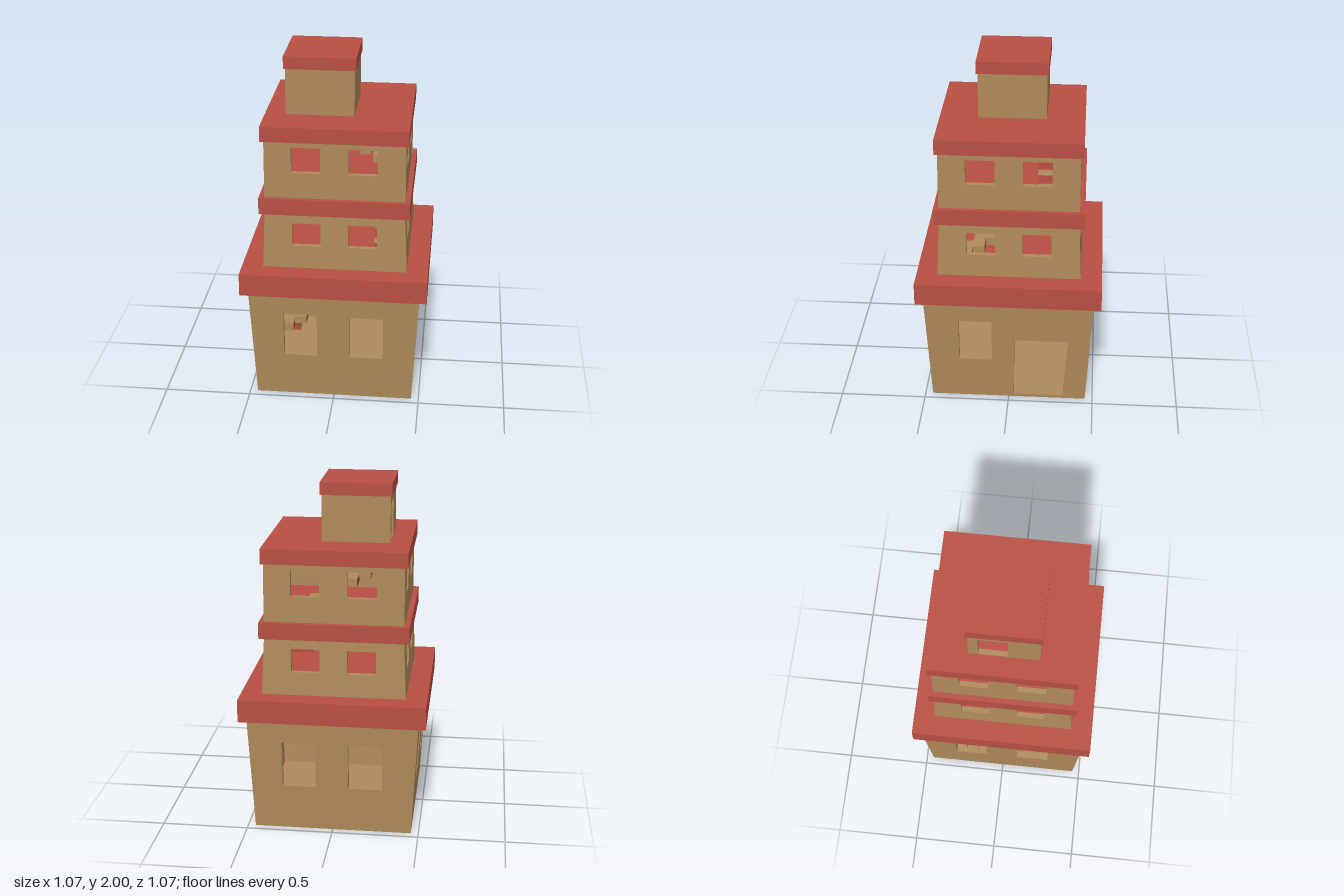
import * as THREE from 'three';

const tan = new THREE.MeshStandardMaterial({ color: 0xae8959 });
tan.name = 'sandstone';
const red = new THREE.MeshStandardMaterial({ color: 0xb94f43 });
red.name = 'roofRed';

const T = 0.03; // wall thickness

function box(name, [x0, x1], [y0, y1], [z0, z1], material) {
  const mesh = new THREE.Mesh(new THREE.BoxGeometry(x1 - x0, y1 - y0, z1 - z0), material);
  mesh.position.set((x0 + x1) / 2, (y0 + y1) / 2, (z0 + z1) / 2);
  mesh.name = name;
  return mesh;
}

// Leaning wall with openings and mitred ends; openings are lists of corner points
function wall(name, y0, y1, h0, h1, openings) {
  const half = y => h0 + (h1 - h0) * (y - y0) / (y1 - y0);
  const pts = list => list.map(([x, y]) => new THREE.Vector2(x, y));
  const shape = new THREE.Shape(pts([[-h0, y0], [h0, y0], [h1, y1], [-h1, y1]]));
  for (const o of openings) shape.holes.push(new THREE.Path(pts(o)));
  const geo = new THREE.ExtrudeGeometry(shape, { depth: T, bevelEnabled: false });
  const p = geo.attributes.position;
  for (let i = 0; i < p.count; i++) {
    const x = p.getX(i), y = p.getY(i), z = p.getZ(i) + half(y) - T;
    p.setZ(i, z);
    if (Math.abs(Math.abs(x) - half(y)) < 1e-4) p.setX(i, Math.sign(x) * z);
  }
  geo.computeVertexNormals();
  const mesh = new THREE.Mesh(geo, tan);
  mesh.name = name;
  return mesh;
}

const rect = (x0, x1, y0, y1) => [[x0, y0], [x0, y1], [x1, y1], [x1, y0]];

// Four walls: front, left (+x), back, right (-x)
function storey(name, y0, y1, h0, h1, openingsFor) {
  const group = new THREE.Group();
  group.name = name;
  ['frontWall', 'leftWall', 'backWall', 'rightWall'].forEach((side, k) => {
    const w = wall(side, y0, y1, h0, h1, openingsFor(k));
    w.rotation.y = k * Math.PI / 2;
    group.add(w);
  });
  return group;
}

// Floating steps; each one moves on by run and rise, with red ends along the run
function flight(name, axis, count, start, run, y, rise, across) {
  const group = new THREE.Group();
  group.name = name;
  const mats = axis === 'x' ? [red, red, tan, red, tan, tan] : [tan, tan, tan, red, red, red];
  for (let i = 0; i < count; i++) {
    const c = start + i * run, along = [c - 0.033, c + 0.033];
    const ys = [y + i * rise - 0.023, y + i * rise + 0.023];
    group.add(axis === 'x' ? box('step', along, ys, across, mats) : box('step', across, ys, along, mats));
  }
  return group;
}

export function createModel() {
  const model = new THREE.Group();
  model.name = 'tower';

  // Storeys
  const lowWindows = [rect(-0.29, -0.097, 0.27, 0.545), rect(0.092, 0.287, 0.27, 0.545)];
  const door = [[0.03, 0.02], [0.035, 0.42], [0.35, 0.42], [0.325, 0.02]];
  model.add(storey('groundStorey', 0, 0.69, 0.456, 0.491, k => k === 1 ? [lowWindows[0], door] : lowWindows));
  const upperWindows = (y0, y1) => [rect(-0.243, -0.08, y0, y1), rect(0.077, 0.24, y0, y1)];
  model.add(storey('middleStorey', 0.8, 1.15, 0.412, 0.396, () => upperWindows(0.947, 1.085)));
  model.add(storey('upperStorey', 1.23, 1.58, 0.396, 0.394, () => upperWindows(1.39, 1.54)));
  const cabin = storey('roofCabin', 1.65, 1.94, 0.194, 0.194, k => k === 3 ? [rect(-0.14, 0.02, 1.67, 1.88)] : []);
  cabin.position.x = -0.102;
  model.add(cabin);

  // Ground floor and overhanging roof slabs
  model.add(box('groundFloor', [-0.45, 0.45], [0, 0.02], [-0.45, 0.45], tan));
  for (const [name, y0, y1, h, cx] of [
    ['lowerSlab', 0.68, 0.812, 0.533, 0],
    ['middleSlab', 1.145, 1.24, 0.425, -0.002],
    ['upperSlab', 1.575, 1.662, 0.411, -0.002],
    ['cabinRoof', 1.928, 2, 0.203, -0.102],
  ]) model.add(box(name, [cx - h, cx + h], [y0, y1], [-h, h], red));

  // Stairs climbing round the inside walls
  model.add(flight('groundStairs', 'z', 8, -0.275, 0.075, 0.045, 0.0486, [-0.43, -0.29]));
  model.add(flight('groundStairsTurn', 'x', 5, -0.27, 0.077, 0.44, 0.053, [0.3, 0.45]));
  model.add(flight('middleStairs', 'z', 6, 0.325, -0.075, 0.85, 0.056, [0.215, 0.37]));
  model.add(flight('upperStairs', 'x', 6, 0.205, -0.075, 1.27, 0.051, [-0.365, -0.15]));
  model.add(box('stairEnd', [0.3, 0.403], [1.24, 1.28], [-0.345, -0.332], tan));

  return model;
}
